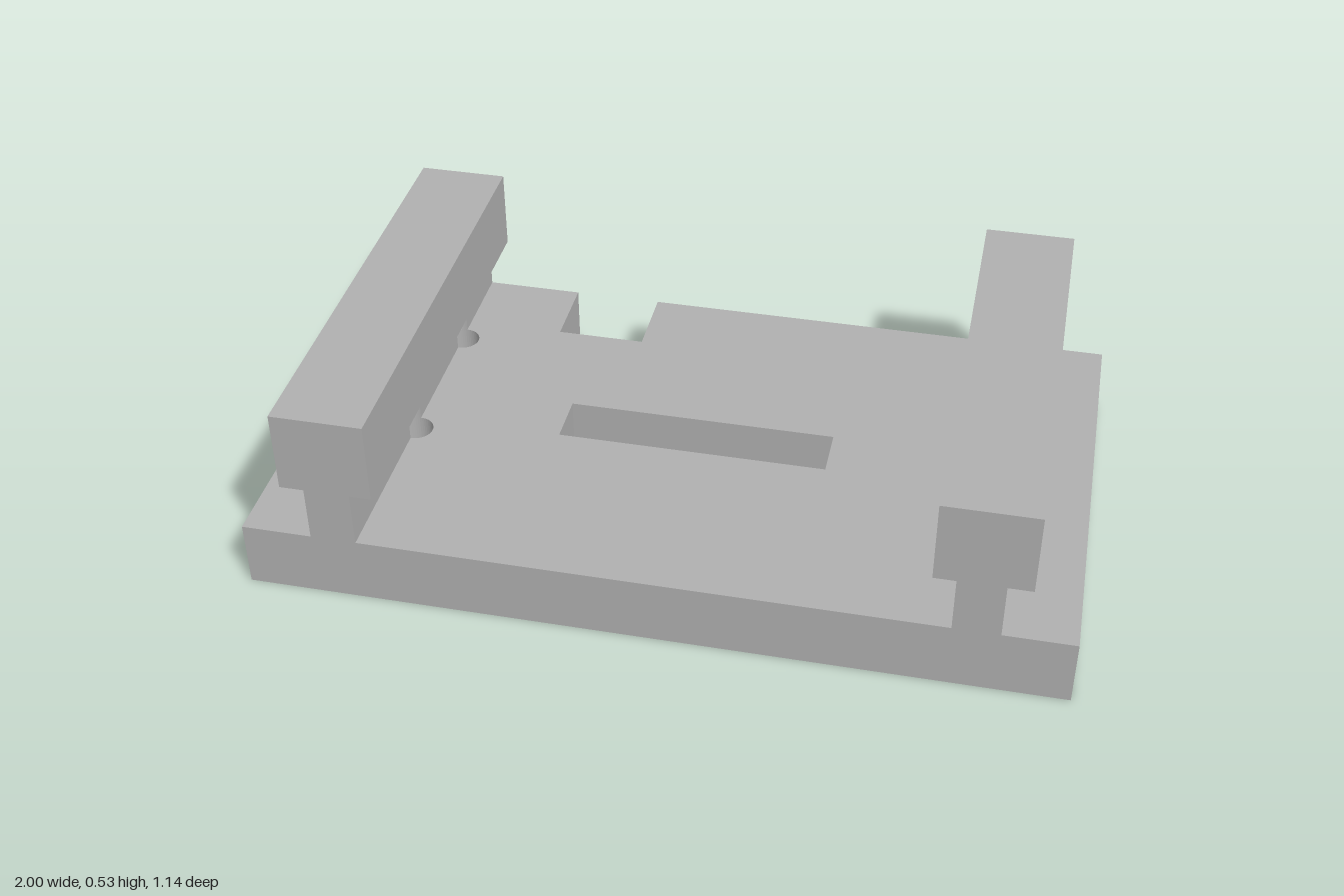
import * as THREE from 'three';

const HALF_DEPTH = 0.572;          // half length along z
const FLOOR = 0.172;               // top of the base plate
const POCKET = 0.08;               // depth of the nut pockets
const BOLT_TOP = 0.215;            // blind end of the bolt holes
const BOLT_X = 0.71, BOLT_Z = [-0.29, 0.115], BOLT_R = 0.043;
const STEM = [0.712, 0.825], HEAD = [0.658, 0.885];

// Extrude a plan drawn in (x, -z) upwards from y0 to y1
function slab(shape, y0, y1, material, name) {
  const geo = new THREE.ExtrudeGeometry(shape, { depth: y1 - y0, bevelEnabled: false, curveSegments: 24 });
  geo.rotateX(-Math.PI / 2);
  geo.translate(0, y0, 0);
  const mesh = new THREE.Mesh(geo, material);
  mesh.name = name;
  return mesh;
}

function polygon(points, Type = THREE.Shape) {
  return new Type(points.map(([x, y]) => new THREE.Vector2(x, y)));
}

// Plate outline with the rear notch and the central slot
function plateShape() {
  const d = HALF_DEPTH;
  const shape = polygon([[-1, -d], [1, -d], [1, d], [-0.23, d], [-0.23, 0.375], [-0.46, 0.375], [-0.46, d], [-1, d]]);
  shape.holes.push(polygon([[-0.344, -0.067], [-0.344, 0.067], [0.344, 0.067], [0.344, -0.067]], THREE.Path));
  return shape;
}

function box(x0, x1, y0, y1, material, name) {
  const mesh = new THREE.Mesh(new THREE.BoxGeometry(x1 - x0, y1 - y0, 2 * HALF_DEPTH), material);
  mesh.position.set((x0 + x1) / 2, (y0 + y1) / 2, 0);
  mesh.name = name;
  return mesh;
}

export function createModel() {
  const grey = new THREE.MeshStandardMaterial({ color: 0xb0b0b0 });
  grey.name = 'grey';
  const model = new THREE.Group();
  model.name = 'railBracket';

  // Base plate: lower layer has hexagonal pockets, upper layer has round holes
  const lower = plateShape(), upper = plateShape();
  for (const side of [-1, 1]) {
    for (const z of BOLT_Z) {
      const hex = [];
      for (let i = 0; i < 6; i++) {
        const a = -i * Math.PI / 3;
        hex.push([side * BOLT_X + 0.09 * Math.cos(a), -z + 0.09 * Math.sin(a)]);
      }
      lower.holes.push(polygon(hex, THREE.Path));
      const hole = new THREE.Path();
      hole.absarc(side * BOLT_X, -z, BOLT_R, 0, Math.PI * 2, true);
      upper.holes.push(hole);
    }
  }
  model.add(slab(lower, 0, POCKET, grey, 'basePlateLower'));
  model.add(slab(upper, POCKET, FLOOR, grey, 'basePlateUpper'));

  // Two T-shaped rails; the foot of each stem is cut by the bolt holes
  for (const side of [-1, 1]) {
    const rail = new THREE.Group();
    rail.name = side > 0 ? 'leftRail' : 'rightRail';
    const span = ([a, b]) => (side > 0 ? [a, b] : [-b, -a]);
    const inner = side * STEM[0], outer = side * STEM[1];
    const foot = new THREE.Shape();
    foot.moveTo(outer, -HALF_DEPTH);
    foot.lineTo(outer, HALF_DEPTH);
    foot.lineTo(inner, HALF_DEPTH);
    const half = Math.acos((STEM[0] - BOLT_X) / BOLT_R);
    for (const z of BOLT_Z) {
      if (side > 0) foot.absarc(BOLT_X, -z, BOLT_R, half, -half, true);
      else foot.absarc(-BOLT_X, -z, BOLT_R, Math.PI - half, Math.PI + half, false);
    }
    foot.lineTo(inner, -HALF_DEPTH);
    foot.closePath();
    rail.add(slab(foot, FLOOR, BOLT_TOP, grey, 'stemFoot'));
    rail.add(box(...span(STEM), BOLT_TOP, 0.316, grey, 'stem'));
    rail.add(box(...span(HEAD), 0.316, 0.526, grey, 'head'));
    model.add(rail);
  }
  return model;
}
